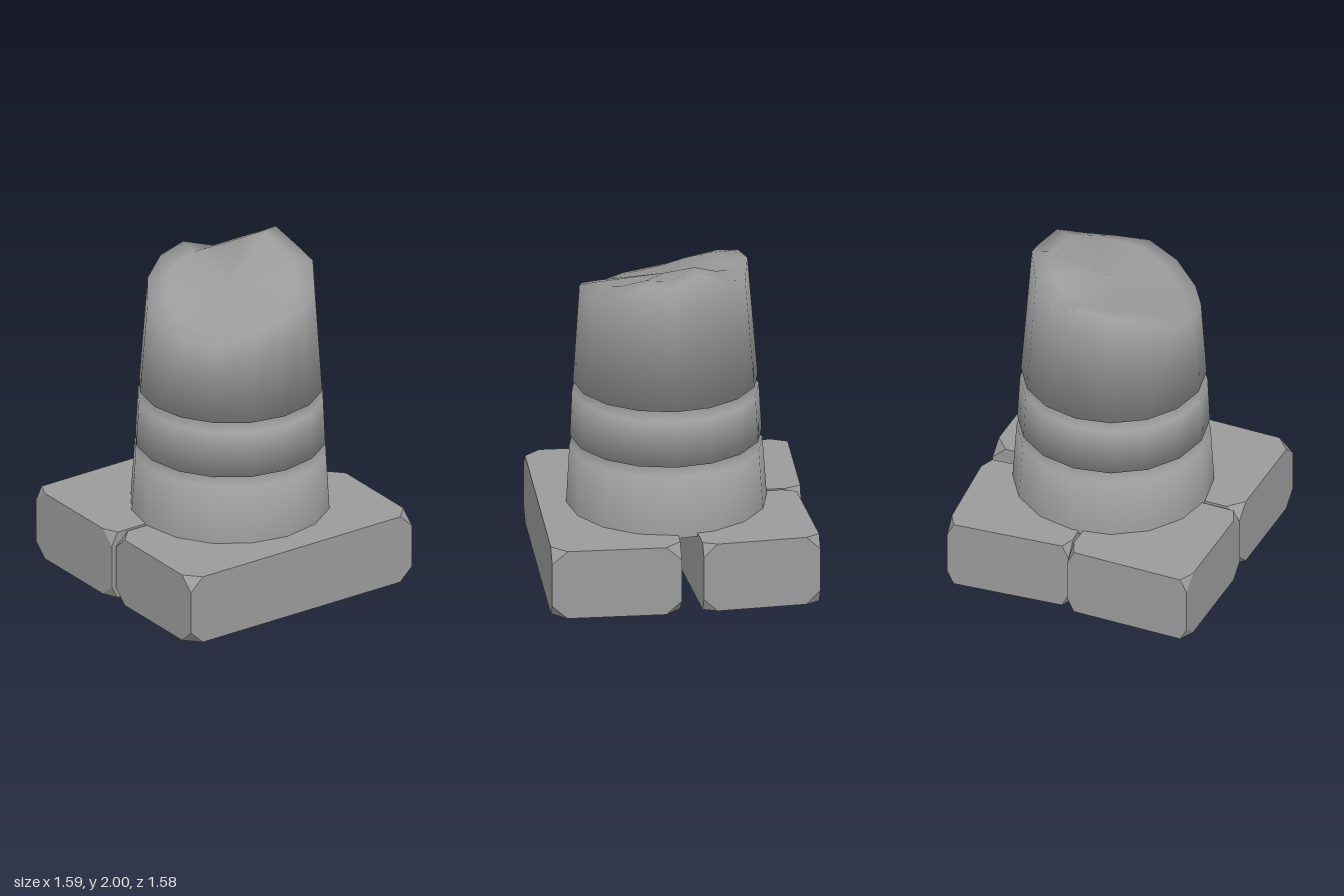
import * as THREE from 'three';
import { ConvexGeometry } from 'three/addons/geometries/ConvexGeometry.js';

const SIDES = 16;
const BLOCK_HEIGHT = 0.42;

// Box with its eight corners cut off and no underside
function cutBlockGeometry(w, h, d) {
  const cut = [w * 0.054, h * 0.19, d * 0.12];
  const points = [];
  for (const sx of [-1, 1]) for (const sy of [-1, 1]) for (const sz of [-1, 1]) {
    const corner = [sx * w / 2, sy * h / 2, sz * d / 2];
    const signs = [sx, sy, sz];
    for (let axis = 0; axis < 3; axis++) {
      const p = corner.slice();
      p[axis] -= signs[axis] * cut[axis];
      points.push(new THREE.Vector3(...p));
    }
  }
  const hull = new ConvexGeometry(points);
  const pos = hull.attributes.position, nor = hull.attributes.normal;
  const kept = [];
  for (let i = 0; i < pos.count; i += 3) {
    if (nor.getY(i) < -0.99) continue;
    for (let j = i; j < i + 3; j++) kept.push(pos.getX(j), pos.getY(j), pos.getZ(j));
  }
  const geometry = new THREE.BufferGeometry();
  geometry.setAttribute('position', new THREE.Float32BufferAttribute(kept, 3));
  geometry.computeVertexNormals();
  return geometry;
}

// Soft normals: every face counts the same, whatever its size
function softNormals(positions, index) {
  const at = (i) => new THREE.Vector3().fromArray(positions, i * 3);
  const sums = Array.from({ length: positions.length / 3 }, () => new THREE.Vector3());
  for (let i = 0; i < index.length; i += 3) {
    const corners = index.slice(i, i + 3);
    const face = new THREE.Triangle(...corners.map(at)).getNormal(new THREE.Vector3());
    corners.forEach((c) => sums[c].add(face));
  }
  return sums.flatMap((n) => n.normalize().toArray());
}

// Grooved shaft with a jagged broken top, lofted from rings
function columnGeometry() {
  // radius, height of the level rings
  const profile = [
    [0.587, 0.4], [0.564, 0.775], [0.44, 0.805], [0.56, 0.835],
    [0.546, 1.115], [0.42, 1.145], [0.54, 1.175],
  ];
  // heights of the broken rim and of the ring inside it, from the left side round by the front
  const rim = [1.92, 1.92, 1.82, 1.775, 1.775, 1.71, 1.64, 1.65,
    1.67, 1.73, 1.82, 1.88, 1.905, 1.84, 1.905, 2.0];
  const inner = [1.93, 1.93, 1.87, 1.82, 1.79, 1.74, 1.69, 1.69,
    1.71, 1.77, 1.83, 1.86, 1.88, 1.89, 1.94, 2.0];
  const rimRadius = (y) => 0.54 - 0.073 * (y - 1.175);
  const rings = profile.map(([r, y]) => rim.map(() => [r, y]));
  rings.push(rim.map((y) => [rimRadius(y), y]));
  rings.push(inner.map((y, k) => [rimRadius(rim[k]) * 0.78, y]));

  const positions = [], index = [];
  const addPoint = (r, y, t) => positions.push(
    0.025 + r * Math.cos(t), y, 0.038 + 0.009 * (y - 0.42) + r * Math.sin(t));
  for (const ring of rings) {
    ring.forEach(([r, y], k) => addPoint(r, y, (k / SIDES) * Math.PI * 2));
  }
  const centre = rings.length * SIDES;
  addPoint(0, 1.83, 0);
  for (let i = 0; i < rings.length; i++) {
    for (let k = 0; k < SIDES; k++) {
      const a = i * SIDES + k, b = i * SIDES + (k + 1) % SIDES;
      if (i === rings.length - 1) index.push(a, centre, b);
      else index.push(a, a + SIDES, b, b, a + SIDES, b + SIDES);
    }
  }
  const geometry = new THREE.BufferGeometry();
  geometry.setAttribute('position', new THREE.Float32BufferAttribute(positions, 3));
  geometry.setAttribute('normal', new THREE.Float32BufferAttribute(softNormals(positions, index), 3));
  geometry.setIndex(index);
  return geometry;
}

export function createModel() {
  const group = new THREE.Group();
  const stone = new THREE.MeshStandardMaterial({ color: 0x9b9b9b, side: THREE.DoubleSide });
  const blockStone = stone.clone();
  blockStone.flatShading = true;

  // Base blocks: name, width, depth, centre x, centre z, turn
  const blocks = [
    ['frontBlock', 1.572, 0.757, 0.006, 0.408, 0.003],
    ['backRightBlock', 0.758, 0.762, -0.418, -0.372, 0.005],
    ['backLeftBlock', 0.745, 0.69, 0.371, -0.412, 0.094],
  ];
  for (const [name, w, d, x, z, turn] of blocks) {
    const block = new THREE.Mesh(cutBlockGeometry(w, BLOCK_HEIGHT, d), blockStone);
    block.name = name;
    block.position.set(x, BLOCK_HEIGHT / 2, z);
    block.rotation.y = turn;
    group.add(block);
  }

  // Broken column
  const column = new THREE.Mesh(columnGeometry(), stone);
  column.name = 'brokenColumn';
  group.add(column);
  return group;
}
